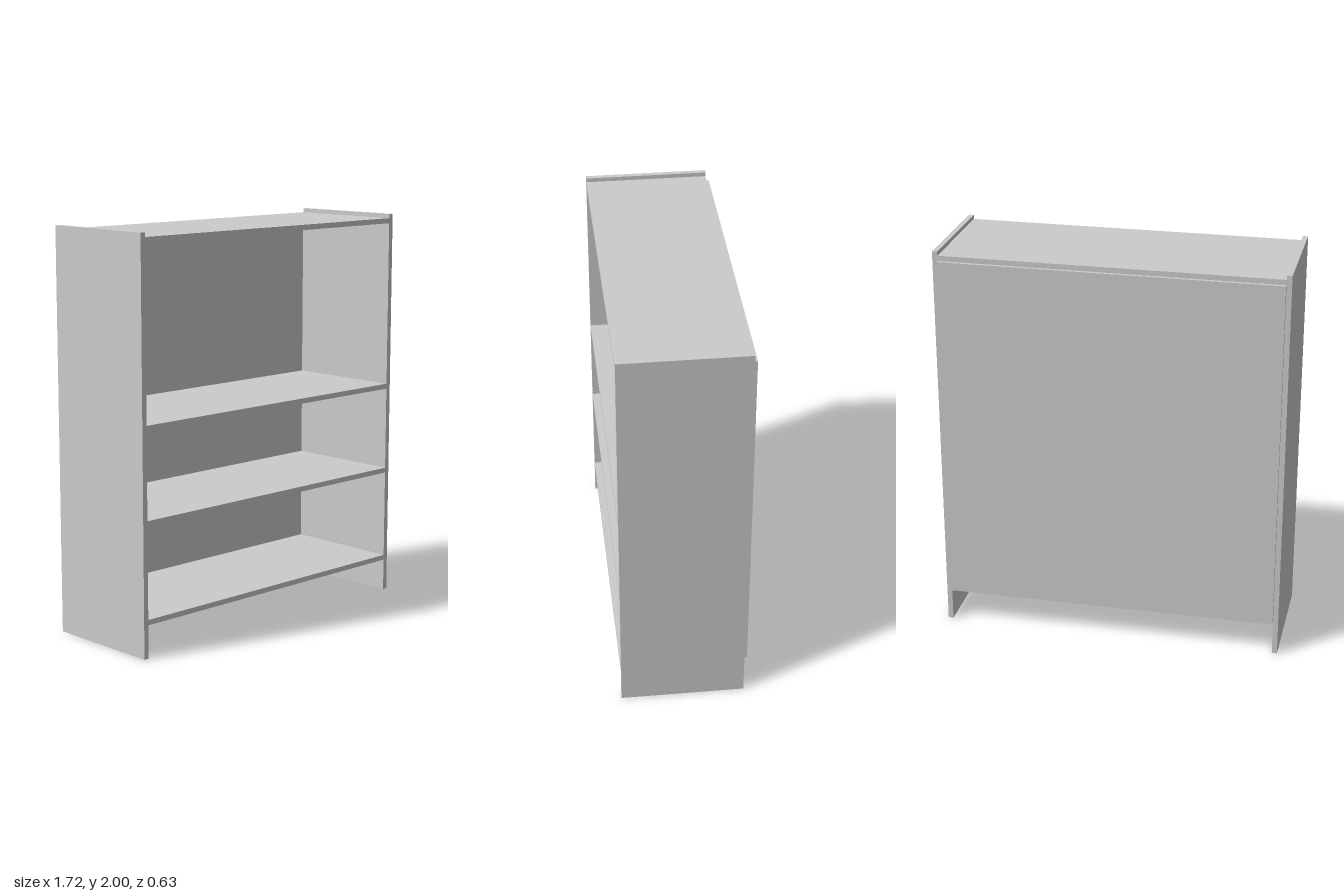
import * as THREE from 'three';

const T = 0.026;        // board thickness
const HALF_W = 0.862;   // outer half width
const INNER = HALF_W - T;
const FRONT = 0.314, BACK = -0.297, REAR = -0.314;

export function createModel() {
  const model = new THREE.Group();
  model.name = 'bookcase';
  const material = new THREE.MeshStandardMaterial({ color: 0xcccccc });

  // A board given by its extents along each axis
  const board = (name, x0, x1, y0, y1, z0, z1) => {
    const mesh = new THREE.Mesh(new THREE.BoxGeometry(x1 - x0, y1 - y0, z1 - z0), material);
    mesh.position.set((x0 + x1) / 2, (y0 + y1) / 2, (z0 + z1) / 2);
    mesh.name = name;
    model.add(mesh);
  };

  // Full-height sides, which also form the feet
  board('leftSide', INNER, HALF_W, 0, 2, BACK, FRONT);
  board('rightSide', -HALF_W, -INNER, 0, 2, BACK, FRONT);

  // Horizontal boards, placed by their undersides
  const levels = { bottomShelf: 0.163, lowerShelf: 0.639, upperShelf: 1.089, topBoard: 1.953 };
  for (const [name, y] of Object.entries(levels)) {
    board(name, -INNER, INNER, y, y + T, BACK, FRONT);
  }

  // Thin panel fixed behind the shelves
  board('backPanel', -INNER, INNER, levels.bottomShelf + T, levels.topBoard, REAR, BACK);

  return model;
}
